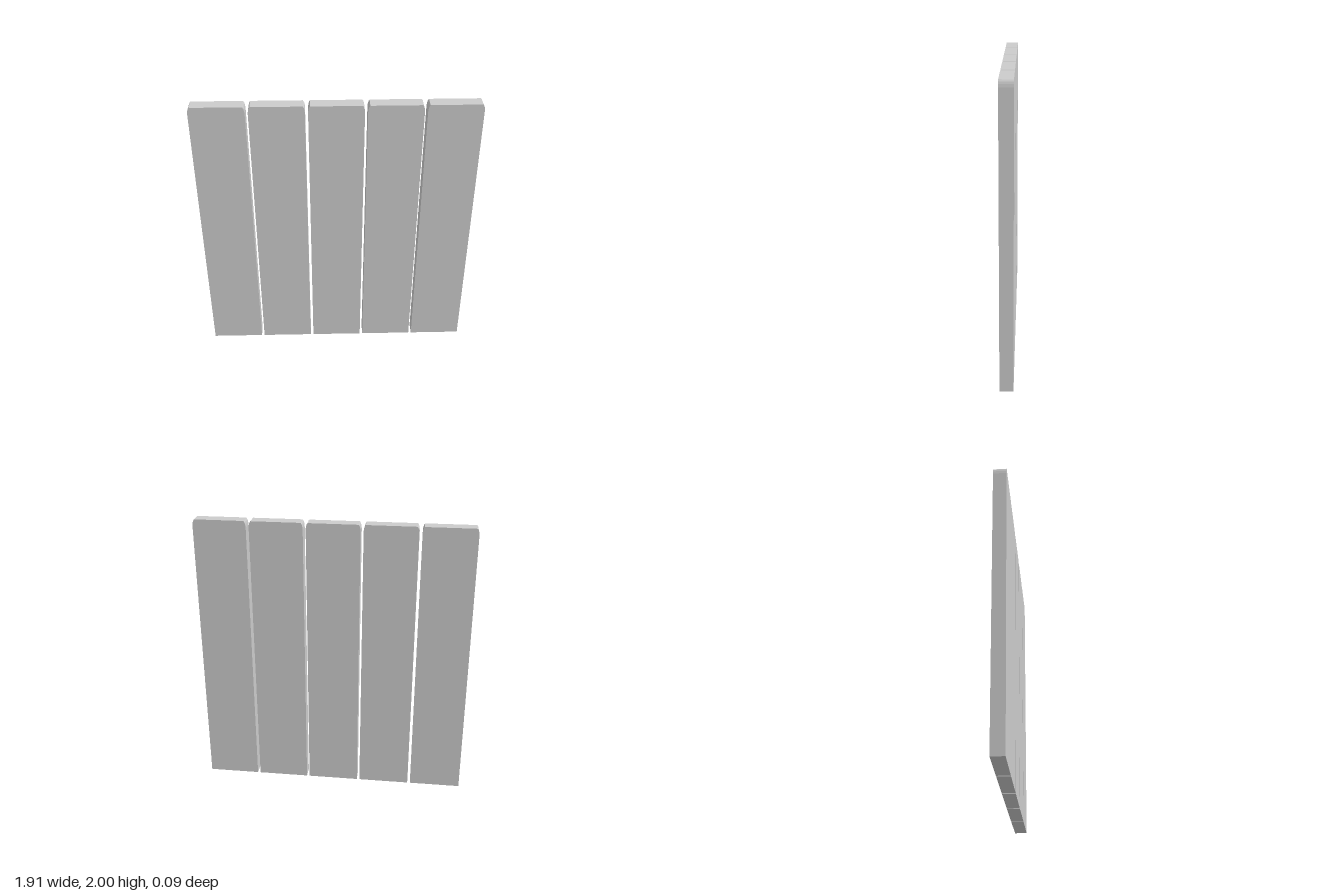
import * as THREE from 'three';

const COUNT = 5, PITCH = 0.387, WIDTH = 0.367, HEIGHT = 2, DEPTH = 0.09;
const EASE_X = 0.013, EASE_Y = 0.045; // softened top corners

// Plank outline: square foot, eased top corners
function plankShape() {
  const w = WIDTH / 2;
  const shape = new THREE.Shape();
  shape.moveTo(-w, 0);
  shape.lineTo(w, 0);
  shape.lineTo(w, HEIGHT - EASE_Y);
  shape.quadraticCurveTo(w - 0.002, HEIGHT - 0.012, w - EASE_X, HEIGHT);
  shape.lineTo(-w + EASE_X, HEIGHT);
  shape.quadraticCurveTo(-w + 0.002, HEIGHT - 0.012, -w, HEIGHT - EASE_Y);
  shape.closePath();
  return shape;
}

export function createModel() {
  const model = new THREE.Group();
  model.name = 'plankPanel';
  const material = new THREE.MeshStandardMaterial({ color: 0xcccccc });
  const geometry = new THREE.ExtrudeGeometry(plankShape(), {
    depth: DEPTH, bevelEnabled: false, curveSegments: 3,
  });
  geometry.translate(0, 0, -DEPTH / 2);

  // Row of equal upright planks with narrow gaps
  for (let i = 0; i < COUNT; i++) {
    const plank = new THREE.Mesh(geometry, material);
    plank.name = `plank${i + 1}`;
    plank.position.x = (i - (COUNT - 1) / 2) * PITCH;
    model.add(plank);
  }
  return model;
}
